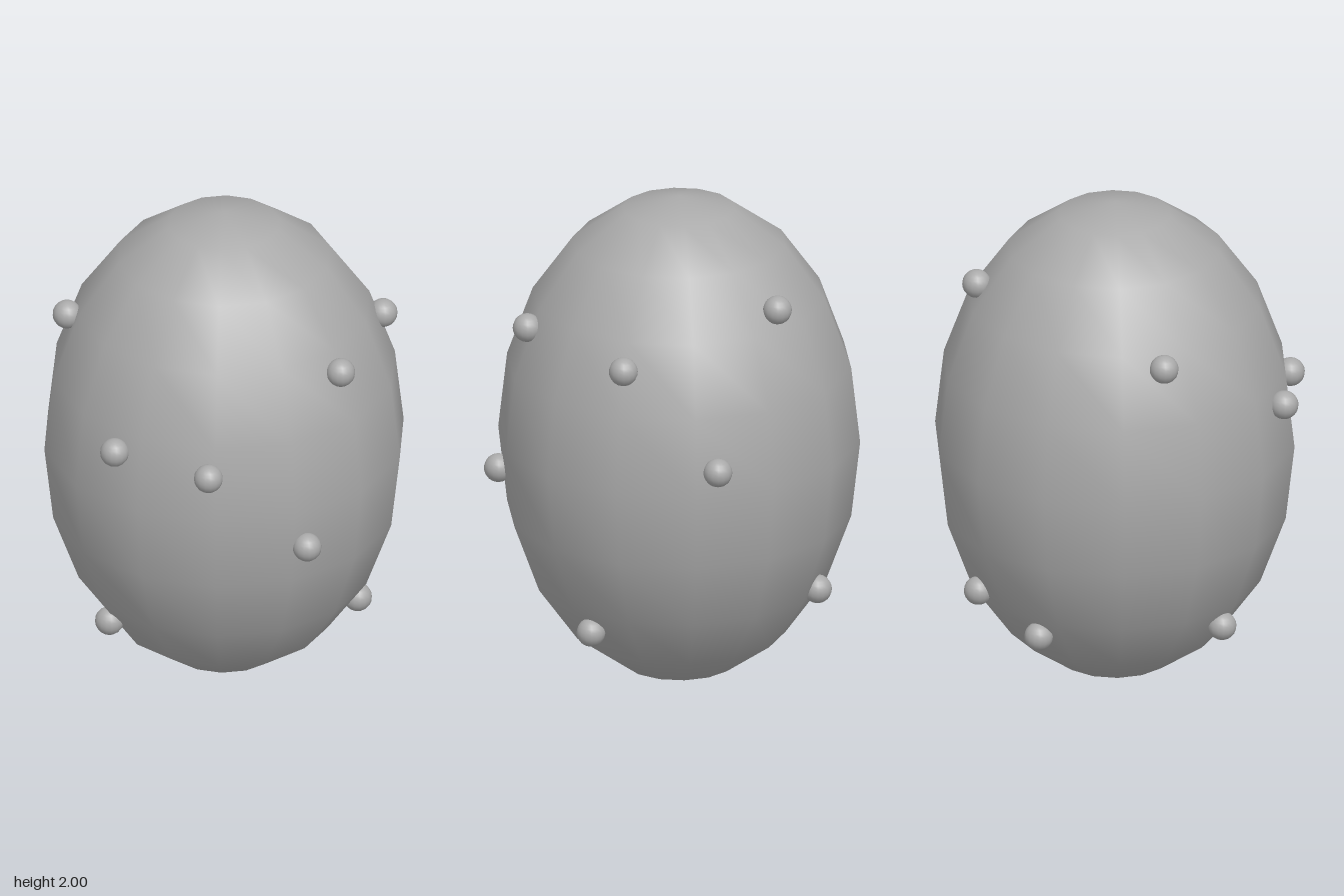
import * as THREE from 'three';

export function createModel() {
  const group = new THREE.Group();
  group.name = 'spottedEgg';
  const grey = new THREE.MeshStandardMaterial({ color: 0xaaaaaa });
  grey.name = 'grey';

  // Egg body: low-poly sphere stretched upright, with smooth normals
  const bodyGeometry = new THREE.SphereGeometry(1, 14, 10);
  bodyGeometry.scale(0.717, 1, 0.717);
  const body = new THREE.Mesh(bodyGeometry, grey);
  body.name = 'eggBody';
  body.position.set(0, 1, -0.02);
  group.add(body);

  // Small round bumps scattered over the shell
  const bumpGeometry = new THREE.SphereGeometry(0.057, 16, 12);
  const bumps = [
    [-0.185, 1.195, 0.665],
    [0.21, 0.845, 0.66],
    [0.377, 1.515, 0.478],
    [-0.522, 1.23, 0.453],
    [0.635, 1.485, -0.02],
    [-0.607, 1.54, -0.13],
    [0.227, 1.665, -0.515],
    [0.605, 1.1, -0.405],
    [-0.495, 0.325, 0.19],
    [0.035, 0.44, -0.612],
    [-0.25, 0.33, -0.497],
    [0.5, 0.32, 0.165],
  ];
  bumps.forEach(([x, y, z], i) => {
    const bump = new THREE.Mesh(bumpGeometry, grey);
    bump.name = `bump${i + 1}`;
    bump.position.set(x, y, z);
    group.add(bump);
  });

  return group;
}
